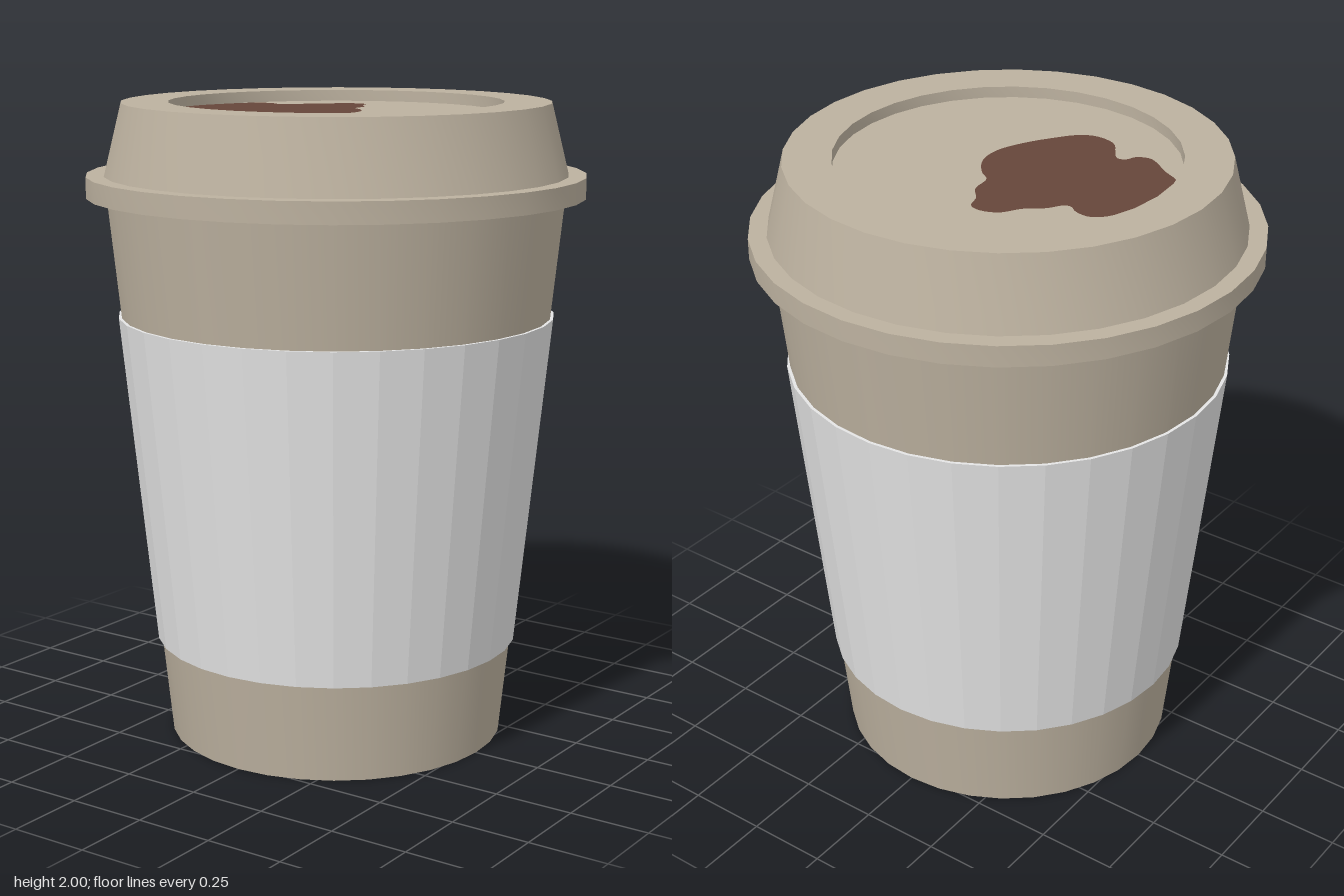
import * as THREE from 'three';
import { toCreasedNormals } from 'three/addons/utils/BufferGeometryUtils.js';

const SIDES = 32;

function material(name, color) {
  const m = new THREE.MeshStandardMaterial({ color });
  m.name = name;
  return m;
}

// Turned part from [radius, y] pairs; crease 0 gives facets
function turned(name, profile, mat, crease = 0.5) {
  const points = profile.map(([r, y]) => new THREE.Vector2(r, y));
  const geometry = toCreasedNormals(new THREE.LatheGeometry(points, SIDES), crease);
  const mesh = new THREE.Mesh(geometry, mat);
  mesh.name = name;
  return mesh;
}

export function createModel() {
  const group = new THREE.Group();
  group.name = 'takeawayCup';

  const beige = material('beige', 0xbcb19f);
  const paleGrey = material('paleGrey', 0xe4e4e4);
  const brown = material('brown', 0x66463a);

  // Tapered cup with a slightly dished base
  group.add(turned('cup', [
    [0, 0.035], [0.09, 0.035], [0.09, 0.03], [0.53, 0], [0.708, 1.72],
  ], beige));

  // Faceted sleeve wrapped around the cup
  group.add(turned('sleeve', [
    [0.55, 0.31], [0.574, 0.31], [0.679, 1.345], [0.65, 1.345],
  ], paleGrey, 0.01));

  // Lid: brim, sloping wall, top ring and sunken centre
  group.add(turned('lid', [
    [0.69, 1.715], [0.77, 1.715], [0.77, 1.78], [0.715, 1.78],
    [0.66, 2], [0.515, 2], [0.515, 1.965], [0, 1.965],
  ], beige));

  // Coffee spill on the sunken centre, outline as [x, z]
  const outline = [
    [-0.13, -0.31], [-0.09, -0.3], [-0.07, -0.25], [-0.03, -0.2], [-0.018, -0.13],
    [0.02, -0.1], [0.06, -0.05], [0.079, 0], [0.077, 0.07], [0.04, 0.16],
    [0, 0.225], [-0.05, 0.29], [-0.1, 0.314], [-0.17, 0.3], [-0.21, 0.25],
    [-0.24, 0.215], [-0.265, 0.222], [-0.28, 0.255], [-0.32, 0.27], [-0.36, 0.25],
    [-0.4, 0.22], [-0.47, 0.18], [-0.49, 0.13], [-0.497, 0.05], [-0.48, -0.03],
    [-0.44, -0.13], [-0.4, -0.165], [-0.35, -0.16], [-0.32, -0.14], [-0.3, -0.145],
    [-0.27, -0.19], [-0.22, -0.23], [-0.18, -0.29],
  ].map(([x, z]) => new THREE.Vector3(x, -z, 0));
  const curve = new THREE.CatmullRomCurve3(outline, true);
  const shape = new THREE.Shape(curve.getPoints(120).slice(0, -1).map((p) => new THREE.Vector2(p.x, p.y)));
  const spill = new THREE.Mesh(new THREE.ShapeGeometry(shape).rotateX(-Math.PI / 2), brown);
  spill.name = 'coffeeSpill';
  spill.position.y = 1.969;
  group.add(spill);

  return group;
}
